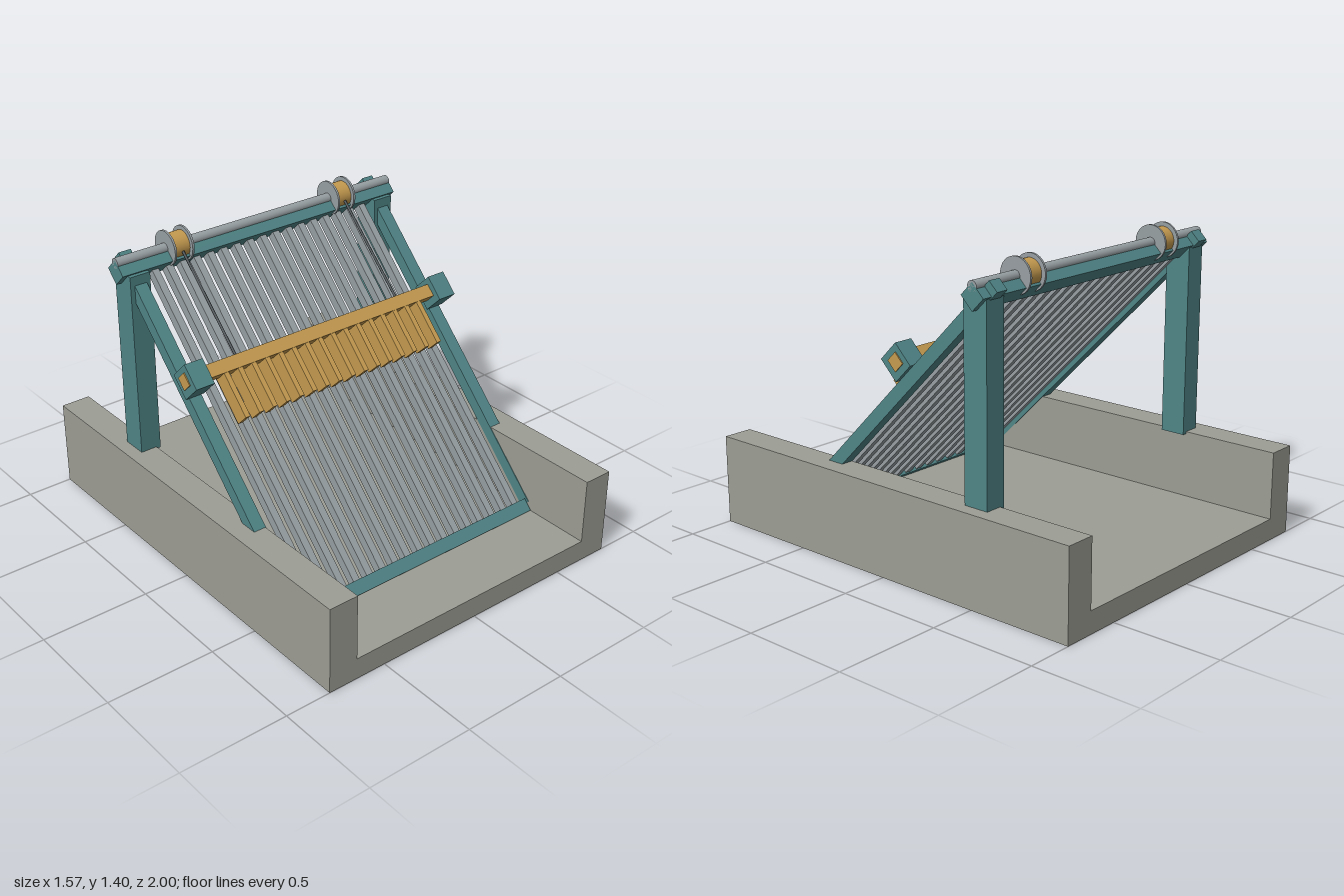
import * as THREE from 'three';

const mat = (color) => new THREE.MeshStandardMaterial({ color });

export function createModel() {
  const model = new THREE.Group();
  const concrete = mat(0x9c9d94), teal = mat(0x4f8486), ochre = mat(0xc49a4f);
  const steel = mat(0x979fa2), dark = mat(0x454d50);

  const add = (name, geometry, material, x = 0, y = 0, z = 0) => {
    const mesh = new THREE.Mesh(geometry, material);
    mesh.name = name;
    mesh.position.set(x, y, z);
    model.add(mesh);
    return mesh;
  };
  // Box tilted 45 degrees: width along x, length up the slope, depth normal to it
  const tilted = (name, material, width, length, depth, x, y, z) => {
    const mesh = add(name, new THREE.BoxGeometry(width, length, depth), material, x, y, z);
    mesh.rotation.x = -Math.PI / 4;
    return mesh;
  };
  // Sloped member: height of its plane u = y + z, running from s0 to s1 where s = y - z
  const sloped = (name, material, width, depth, x, u, s0, s1) => {
    const s = (s0 + s1) / 2;
    return tilted(name, material, width, (s1 - s0) / Math.SQRT2, depth, x, (u + s) / 2, (u - s) / 2);
  };
  // Cylinder lying along x
  const axle = (name, material, radius, length, x, y, z) => {
    const mesh = add(name, new THREE.CylinderGeometry(radius, radius, length, 32), material, x, y, z);
    mesh.rotation.z = Math.PI / 2;
    return mesh;
  };

  // Open U-shaped channel
  const section = new THREE.Shape([
    [-0.785, 0], [0.785, 0], [0.785, 0.41], [0.645, 0.41],
    [0.645, 0.1], [-0.645, 0.1], [-0.645, 0.41], [-0.785, 0.41],
  ].map(([x, y]) => new THREE.Vector2(x, y)));
  add('channel', new THREE.ExtrudeGeometry(section, { depth: 2, bevelEnabled: false }), concrete, 0, 0, -1);

  // Frame cross members
  tilted('sill', teal, 1.26, 0.06, 0.06, 0, 0.115, 0.657);
  tilted('topBeam', teal, 1.5, 0.082, 0.082, 0, 1.278, -0.485);

  // Screen bars, with rake teeth in the gaps between them
  const count = 17, pitch = 0.0716;
  for (let i = 0; i < count; i++) {
    const x = (i - (count - 1) / 2) * pitch;
    sloped('screenBar', steel, 0.033, 0.045, x, 0.77, -0.54, 1.76);
    if (i < count - 1) sloped('rakeTooth', ochre, 0.024, 0.08, x + pitch / 2, 0.878, 0.635, 0.975);
  }

  // Rake beam
  tilted('rakeBeam', ochre, 1.45, 0.06, 0.06, 0, 0.935, -0.038);

  // Hoist shaft
  axle('hoistShaft', steel, 0.024, 1.5, 0, 1.319, -0.485);

  for (const side of [-1, 1]) {
    // Posts, side rails and rake carriages
    add('post', new THREE.BoxGeometry(0.1, 0.87, 0.12), teal, side * 0.673, 0.835, -0.475);
    sloped('sideRail', teal, 0.06, 0.058, side * 0.672, 0.77, -0.53, 1.87);
    tilted('carriage', teal, 0.092, 0.118, 0.118, side * 0.674, 0.932, -0.036);

    // Cable drum with flanges
    const x = side * 0.448;
    axle('drum', ochre, 0.06, 0.085, x, 1.319, -0.485);
    for (const end of [-1, 1]) axle('drumFlange', steel, 0.079, 0.01, x + end * 0.045, 1.319, -0.485);

    // Hoist cable from drum to rake beam
    const path = new THREE.LineCurve3(new THREE.Vector3(x, 1.312, -0.422), new THREE.Vector3(x, 0.96, -0.055));
    add('cable', new THREE.TubeGeometry(path, 1, 0.006, 10), dark);
  }
  return model;
}
